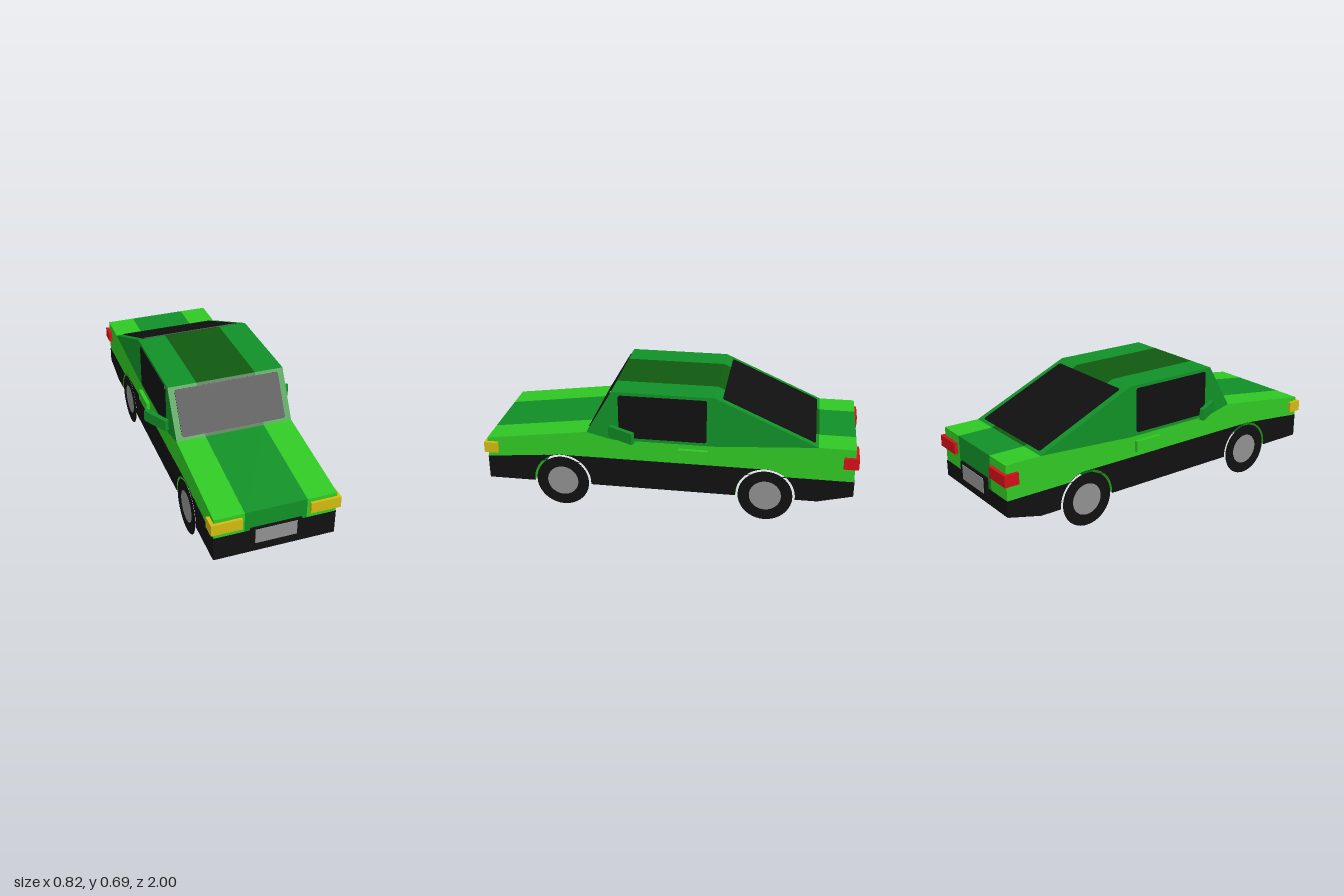
import * as THREE from 'three';

const paint = (name, color) => {
  const m = new THREE.MeshStandardMaterial({ color });
  m.name = name;
  return m;
};

const HALF = 0.315, STRIPE = 0.16;              // half width of car and of centre stripe
const AXLES = [-0.527, 0.574], AXLE_Y = 0.145;  // wheel centres
const ARCH_R = 0.158, WHEEL_R = 0.145, HUB_R = 0.085;

// Side outline (z, y): floor line with both wheel arches, then the given upper points
function sideShape(upper) {
  const s = new THREE.Shape();
  const dip = Math.asin(0.01 / ARCH_R);
  s.moveTo(-0.8, 0.135);
  for (const z of AXLES) {
    s.lineTo(z - ARCH_R * Math.cos(dip), 0.135);
    s.absarc(z, AXLE_Y, ARCH_R, Math.PI + dip, -dip, true);
  }
  s.lineTo(0.985, 0.135);
  upper.forEach(([z, y]) => s.lineTo(z, y));
  s.closePath();
  return s;
}

// Extrude a (z, y) outline across the car from x0 to x1
function across(shape, x0, x1) {
  const g = new THREE.ExtrudeGeometry(shape, { depth: x1 - x0, bevelEnabled: false, curveSegments: 20 });
  return g.rotateY(-Math.PI / 2).translate(x1, 0, 0);
}

// Thin pane with clipped corners, facing +z
function pane(w, h, c = 0.008) {
  const x = w / 2, y = h / 2;
  const pts = [[-x + c, -y], [x - c, -y], [x, -y + c], [x, y - c], [x - c, y], [-x + c, y], [-x, y - c], [-x, -y + c]];
  const s = new THREE.Shape(pts.map(p => new THREE.Vector2(...p)));
  return new THREE.ExtrudeGeometry(s, { depth: 0.004, bevelEnabled: false });
}

export function createModel() {
  const car = new THREE.Group();
  car.name = 'car';
  const bright = paint('brightGreen', 0x30c824);
  const mid = paint('midGreen', 0x119027);
  const dark = paint('darkGreen', 0x105a10);
  const black = paint('black', 0x101010);
  const grey = paint('grey', 0x909090);
  const yellow = paint('yellow', 0xd2ba10);
  const red = paint('red', 0xd21018);
  black.side = grey.side = THREE.DoubleSide;

  const add = (name, geo, mat) => {
    const m = new THREE.Mesh(geo, mat);
    m.name = name;
    car.add(m);
    return m;
  };
  const box = (name, mat, x0, x1, y0, y1, z0, z1) =>
    add(name, new THREE.BoxGeometry(x1 - x0, y1 - y0, z1 - z0)
      .translate((x0 + x1) / 2, (y0 + y1) / 2, (z0 + z1) / 2), mat);

  // Body and cabin, each in three lengthwise strips
  const body = sideShape([[0.985, 0.375], [0.43, 0.45], [0.29, 0.415], [-0.25, 0.415],
    [-0.79, 0.45], [-0.982, 0.45], [-0.982, 0.18]]);
  const cabin = new THREE.Shape([[0.43, 0.45], [0.29, 0.69], [-0.25, 0.69], [-0.79, 0.45],
    [-0.25, 0.415], [0.29, 0.415]].map(p => new THREE.Vector2(...p)));
  add('bodyCentre', across(body, -STRIPE, STRIPE), mid);
  add('cabinCentre', across(cabin, -STRIPE, STRIPE), dark);
  for (const [x0, x1] of [[-HALF, -STRIPE], [STRIPE, HALF]]) {
    add('bodySide', across(body, x0, x1), bright);
    add('cabinSide', across(cabin, x0, x1), mid);
  }

  // Black lower band on sides, nose and tail
  const sill = sideShape([[0.985, 0.265], [-0.982, 0.265], [-0.982, 0.18]]);
  add('leftSill', across(sill, HALF, HALF + 0.002), black);
  add('rightSill', across(sill, -HALF - 0.002, -HALF), black);
  box('frontBumper', black, -HALF, HALF, 0.135, 0.265, 0.985, 0.988);
  box('rearBumper', black, -HALF, HALF, 0.18, 0.265, -0.985, -0.982);

  // Blank number plates
  box('frontPlateHolder', black, -0.133, 0.133, 0.18, 0.28, 0.985, 0.996);
  box('frontPlate', grey, -0.108, 0.108, 0.19, 0.271, 0.996, 0.999);
  box('rearPlateHolder', black, -0.133, 0.133, 0.223, 0.323, -0.996, -0.982);
  box('rearPlate', grey, -0.108, 0.108, 0.233, 0.314, -0.999, -0.996);

  // Windscreen and rear window lie on the sloping cabin ends
  add('windscreen', pane(0.565, 0.245).rotateX(-Math.atan2(0.14, 0.24)).translate(0, 0.57, 0.36), black);
  add('rearWindow', pane(0.555, 0.53).rotateX(-Math.atan2(0.54, -0.24)).translate(0, 0.566, -0.53), black);

  for (const s of [1, -1]) {
    const side = s > 0 ? 'left' : 'right';
    const mirrorBox = (name, mat, a, b, ...rest) =>
      box(side + name, mat, Math.min(s * a, s * b), Math.max(s * a, s * b), ...rest);
    add(side + 'Window', pane(0.465, 0.24).rotateY(s * Math.PI / 2).translate(s * HALF, 0.553, 0.022), black);
    mirrorBox('Headlight', yellow, 0.175, 0.333, 0.295, 0.355, 0.925, 1);
    mirrorBox('TailLight', red, 0.18, 0.333, 0.345, 0.405, -1, -0.922);
    mirrorBox('DoorHandle', bright, HALF, 0.335, 0.33, 0.39, -0.22, -0.063);

    // Swept-back door mirror
    const mirror = add(side + 'DoorMirror', new THREE.BoxGeometry(0.025, 0.062, 0.157), mid);
    mirror.position.set(s * 0.362, 0.471, 0.232);
    mirror.rotation.y = -s * 0.5;

    // Flat disc wheels flush with the body side
    for (const z of AXLES) {
      const end = z > 0 ? 'Front' : 'Rear';
      const turn = s * Math.PI / 2;
      add(side + end + 'Tyre', new THREE.RingGeometry(HUB_R, WHEEL_R, 40)
        .rotateY(turn).translate(s * HALF, AXLE_Y, z), black);
      add(side + end + 'Hub', new THREE.CircleGeometry(HUB_R, 40)
        .rotateY(turn).translate(s * HALF, AXLE_Y, z), grey);
    }
  }
  return car;
}
